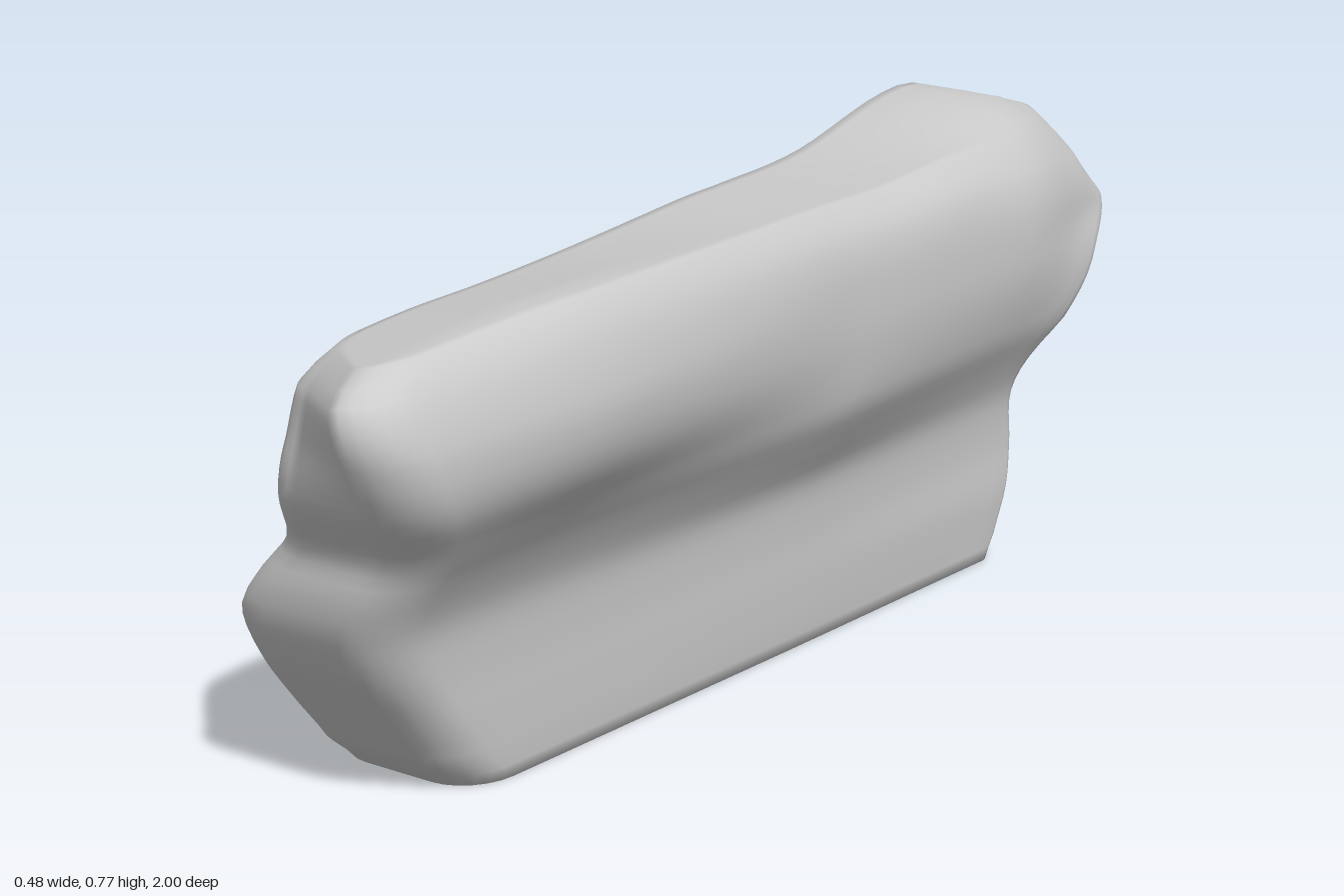
import * as THREE from 'three';

// Height, back z, front z, then left/right x limits at the front, middle and back
const LEVELS = [
  [0.005, -0.66, 0.68, -0.215, 0.068, -0.20, 0.066, -0.19, 0.06],
  [0.04, -0.68, 0.72, -0.225, 0.071, -0.215, 0.07, -0.20, 0.062],
  [0.12, -0.71, 0.78, -0.238, 0.074, -0.226, 0.074, -0.212, 0.066],
  [0.20, -0.73, 0.84, -0.24, 0.076, -0.226, 0.076, -0.215, 0.062],
  [0.28, -0.73, 0.88, -0.235, 0.084, -0.212, 0.086, -0.21, 0.068],
  [0.34, -0.75, 0.89, -0.19, 0.11, -0.188, 0.122, -0.20, 0.092],
  [0.41, -0.82, 0.89, -0.13, 0.155, -0.162, 0.162, -0.20, 0.128],
  [0.50, -0.92, 0.95, -0.105, 0.218, -0.138, 0.176, -0.205, 0.152],
  [0.58, -0.99, 0.99, -0.10, 0.238, -0.126, 0.177, -0.19, 0.155],
  [0.65, -0.95, 1.01, -0.10, 0.226, -0.128, 0.17, -0.198, 0.147],
  [0.70, -0.91, 1.0, -0.092, 0.205, -0.12, 0.152, -0.192, 0.125],
  [0.73, -0.86, 0.95, -0.065, 0.178, -0.10, 0.12, -0.17, 0.085],
];
// Stations along z for the width limits, and the rise and fall of the crest
const STATIONS = [[-0.7, 0], [-0.1, 1], [0.55, 2]];
const CREST = [[-1, -0.03], [-0.87, 0.0], [-0.7, 0.042], [-0.35, -0.004], [0, 0], [0.6, 0.008], [1, -0.022]];
const { lerp, smoothstep, clamp } = THREE.MathUtils;

// Smooth interpolation of a table's rows by its first column
function sample(table, key) {
  const last = table.length - 1;
  const k = clamp(key, table[0][0], table[last][0]);
  let i = 0;
  while (i < last - 1 && k > table[i + 1][0]) i++;
  const t = (k - table[i][0]) / (table[i + 1][0] - table[i][0]);
  const row = (n) => table[clamp(n, 0, last)];
  return table[0].map((_, c) => {
    const a = row(i - 1)[c], b = row(i)[c], d = row(i + 1)[c], e = row(i + 2)[c];
    return b + 0.5 * t * (d - a + t * (2 * a - 5 * b + 4 * d - e + t * (3 * (b - d) + e - a)));
  });
}

// Rounded outline: s across, t along, e pushes the end corners outward
function outline() {
  const half = [];
  const corner = 6, side = 36, round = 0.55;
  for (let i = 0; i <= corner; i++) {
    const a = (i / corner) * Math.PI / 2;
    half.push([1 - round + round * Math.sin(a), 1, Math.cos(a)]);
  }
  for (let i = 1; i < side; i++) half.push([1, 1 - i / side, 0]);
  for (let i = corner; i >= 0; i--) {
    const a = (i / corner) * Math.PI / 2;
    half.push([1 - round + round * Math.sin(a), 0, -Math.cos(a)]);
  }
  return half.concat(half.map(([s, t, e]) => [-s, 1 - t, -e]));
}

function rockPoint(y, s, t, e, shrink) {
  const [, back, front, ...limits] = sample(LEVELS, y);
  // The foot is squarer at the back
  const rFront = 0.09, rBack = lerp(0.03, 0.08, smoothstep(y, 0.1, 0.5));
  let z = lerp(back + rBack, front - rFront, t) + e * shrink * (e > 0 ? rFront : rBack);
  const w = sample(STATIONS, z)[1];
  const limit = (side) => {
    const [f, m, b] = [limits[side], limits[2 + side], limits[4 + side]];
    return w < 1 ? lerp(b, m, w) : lerp(m, f, w - 1);
  };

  // Both ends narrow in plan
  const upper = smoothstep(y, 0.38, 0.6);
  const x0 = limit(0) + 0.05 * (1 - smoothstep(z, -1, -0.78));
  const x1 = limit(1) - 0.08 * (1 - smoothstep(z, -1, -0.6)) * upper
    - 0.03 * upper * smoothstep(z, 0.55, 1);
  const x = (x0 + x1) / 2 + s * shrink * (x1 - x0) / 2;

  // Upper front face steps back on one side
  z -= 0.11 * (1 - smoothstep(x, -0.05, 0.13)) * smoothstep(y, 0.44, 0.68) * smoothstep(z, 0.4, 0.9);

  // Uneven crest, tilted one way at the front and the other at the back
  const crown = smoothstep(y, 0.5, 0.72);
  const frontTilt = 0.2 * Math.min(0, x - 0.13) * smoothstep(z, -0.2, 0.6);
  const backTilt = -0.42 * Math.max(0, x + 0.03) * (1 - smoothstep(z, -0.75, -0.35));
  let py = y + crown * (sample(CREST, z)[1] + frontTilt + backTilt);

  // Shallow hollow underneath
  if (y < 0.01) py += 0.012 * (1 - shrink);
  return [x, py, z];
}

function rockGeometry() {
  const ring = outline(), n = ring.length;
  const rows = [];
  const bottom = LEVELS[0][0], top = LEVELS[LEVELS.length - 1][0];
  for (const k of [0.3, 0.6, 0.9]) rows.push([bottom, k]);
  for (let i = 0; i <= 36; i++) rows.push([bottom + (top - bottom) * i / 36, 1]);
  for (const k of [0.85, 0.6, 0.3]) rows.push([top, k]);

  const positions = [], index = [];
  const lastRow = (rows.length - 1) * n;
  rows.forEach(([y, shrink], i) => {
    ring.forEach(([s, t, e], j) => {
      positions.push(...rockPoint(y, s, t, e, shrink));
      if (i === rows.length - 1) return;
      const a = i * n + j, b = i * n + (j + 1) % n;
      index.push(a, b, b + n, a, b + n, a + n);
    });
  });
  // Close underside and crest by bridging opposite sides
  for (let j = 0; j < n / 2 - 1; j++) {
    const a = j, b = j + 1, c = n - 2 - j, d = n - 1 - j;
    index.push(a, c, b, a, d, c);
    index.push(lastRow + a, lastRow + b, lastRow + c, lastRow + a, lastRow + c, lastRow + d);
  }
  const geometry = new THREE.BufferGeometry();
  geometry.setAttribute('position', new THREE.Float32BufferAttribute(positions, 3));
  geometry.setIndex(index);
  geometry.computeVertexNormals();
  return geometry;
}

export function createModel() {
  const group = new THREE.Group();
  group.name = 'rockWall';
  const rock = new THREE.Mesh(rockGeometry(), new THREE.MeshStandardMaterial({ color: 0xcccccc }));
  rock.name = 'rock';
  group.add(rock);
  return group;
}
